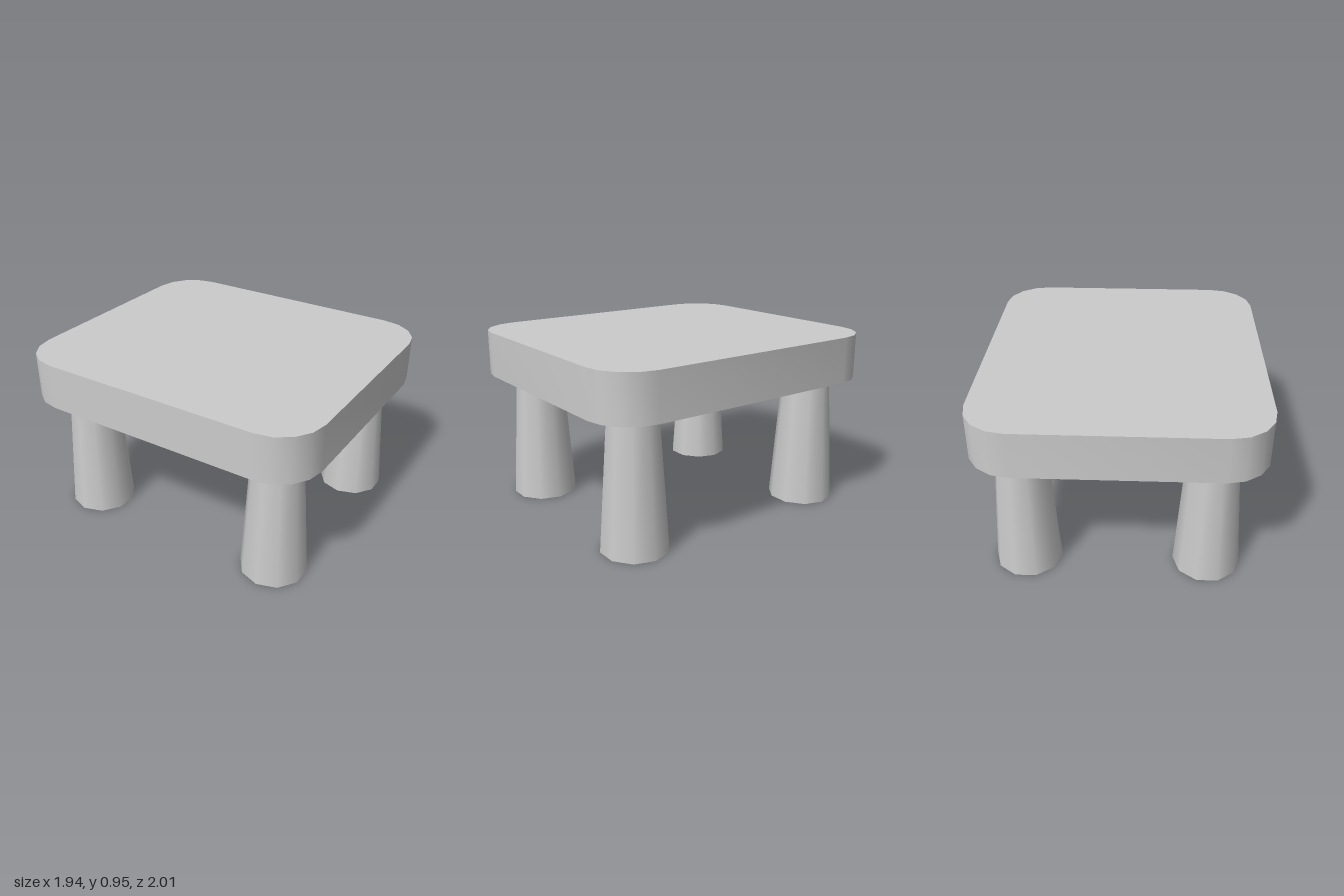
import * as THREE from 'three';
import { toCreasedNormals } from 'three/addons/utils/BufferGeometryUtils.js';

const material = new THREE.MeshStandardMaterial({ color: 0xcccccc });

// Slab with rounded corners of two facets each, lying flat
function slabGeometry(halfX, halfZ, radius, thickness) {
  const cx = halfX - radius, cz = halfZ - radius;
  const shape = new THREE.Shape();
  [[1, 1], [-1, 1], [-1, -1], [1, -1]].forEach(([sx, sz], i) => {
    const start = i * Math.PI / 2;
    shape.absarc(sx * cx, sz * cz, radius, start, start + Math.PI / 2, false);
  });
  const geometry = new THREE.ExtrudeGeometry(shape, {
    depth: thickness, bevelEnabled: false, curveSegments: 2,
  });
  geometry.rotateX(-Math.PI / 2);
  return toCreasedNormals(geometry, Math.PI / 3);
}

export function createModel() {
  const table = new THREE.Group();
  table.name = 'table';

  // Table top
  const top = new THREE.Mesh(slabGeometry(0.735, 0.832, 0.232, 0.245), material);
  top.name = 'tableTop';
  top.position.y = 0.705;
  table.add(top);

  // Four tapered ten-sided legs
  const legHeight = 0.705;
  const legGeometry = new THREE.CylinderGeometry(0.129, 0.177, legHeight, 10);
  legGeometry.rotateY(Math.PI / 2);
  for (const [zName, sz] of [['front', 1], ['back', -1]]) {
    for (const [xName, sx] of [['Left', 1], ['Right', -1]]) {
      const leg = new THREE.Mesh(legGeometry, material);
      leg.name = `${zName}${xName}Leg`;
      leg.position.set(0.014 + sx * 0.474, legHeight / 2, sz * 0.578);
      table.add(leg);
    }
  }

  // The table stands turned on the floor
  table.rotation.y = 0.544;
  const model = new THREE.Group();
  model.add(table);
  return model;
}
